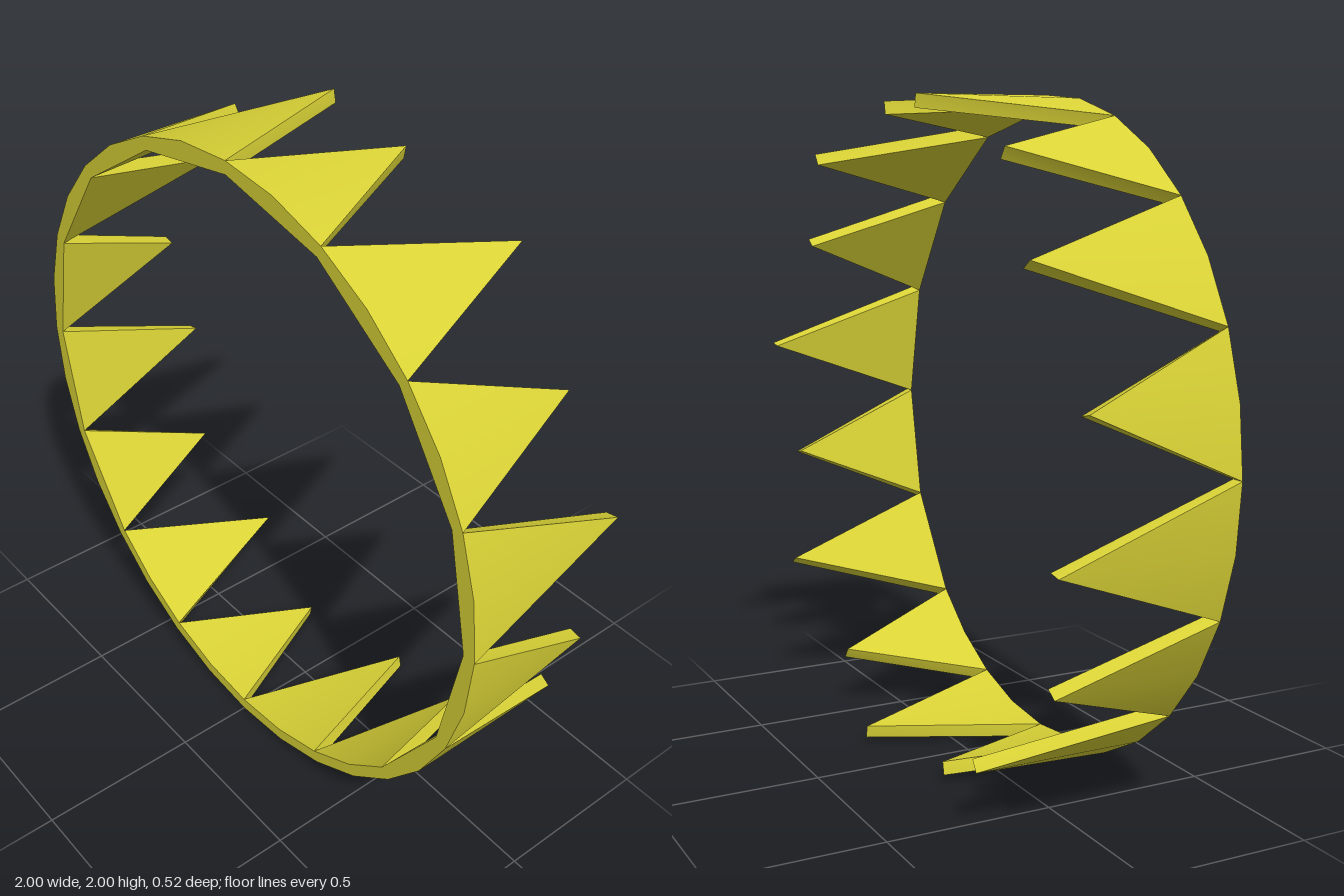
import * as THREE from 'three';
import { toCreasedNormals } from 'three/addons/utils/BufferGeometryUtils.js';

const TEETH = 16, OUTER = 1, INNER = 0.96, FRONT = 0.26;

// One pointed tooth: a thin triangular plate bent around the ring, tip toward -z
function toothGeometry(start, tipZ, foldedInside) {
  const step = (Math.PI * 2) / TEETH, mid = start + step / 2, end = start + step;
  const at = (r, a, z) => [r * Math.cos(a), r * Math.sin(a), z];
  const o0 = at(OUTER, start, FRONT), om = at(OUTER, mid, FRONT), o1 = at(OUTER, end, FRONT);
  const i0 = at(INNER, start, FRONT), i1 = at(INNER, end, FRONT);
  const im = at(foldedInside ? INNER : INNER * Math.cos(step / 2), mid, FRONT);
  const ot = at(OUTER, mid, tipZ), it = at(INNER, mid, tipZ);

  const points = [];
  const tri = (a, b, c) => points.push(...a, ...b, ...c);
  const quad = (a, b, c, d) => { tri(a, b, c); tri(a, c, d); };
  // outside and inside faces
  tri(om, o0, ot);
  tri(o1, om, ot);
  tri(i0, im, it);
  tri(im, i1, it);
  // front rim
  quad(i0, o0, om, im);
  quad(im, om, o1, i1);
  // sloping side walls
  quad(o0, i0, it, ot);
  quad(i1, o1, ot, it);

  const g = new THREE.BufferGeometry();
  g.setAttribute('position', new THREE.Float32BufferAttribute(points, 3));
  return toCreasedNormals(g, 0.3);
}

export function createModel() {
  const model = new THREE.Group();
  model.name = 'toothedRing';
  const material = new THREE.MeshStandardMaterial({ color: 0xd9d236 });

  // Long and short teeth alternate around the ring
  for (let i = 0; i < TEETH; i++) {
    const isLong = i % 2 === 0;
    const onBottom = i >= 10 && i <= 13;
    const start = (i / TEETH) * Math.PI * 2;
    const tooth = new THREE.Mesh(toothGeometry(start, isLong ? -0.26 : -0.18, onBottom), material);
    tooth.name = isLong ? 'longTooth' : 'shortTooth';
    tooth.position.y = 1;
    model.add(tooth);
  }
  return model;
}
